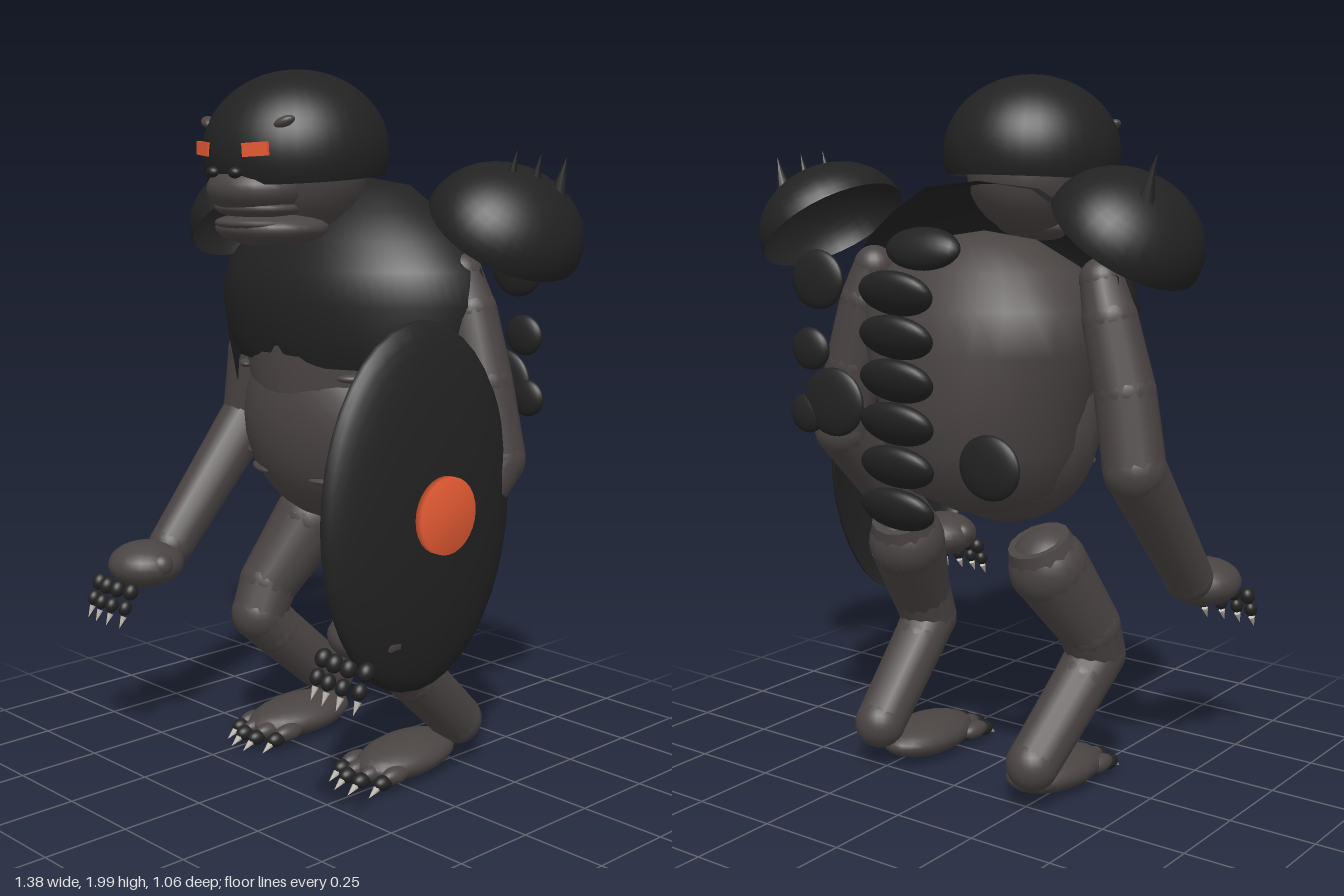
import * as THREE from 'three';
import { mergeVertices } from 'three/addons/utils/BufferGeometryUtils.js';

const mat = (name, color, side = THREE.FrontSide) => {
  const m = new THREE.MeshStandardMaterial({ color, side });
  m.name = name;
  return m;
};

export function createModel() {
  const root = new THREE.Group();
  root.name = 'armouredApe';
  const hide = mat('hide', 0x4a4443);
  const armour = mat('blackArmour', 0x222222, THREE.DoubleSide);
  const ember = mat('emberOrange', 0xe85c34);
  const claw = mat('clawBone', 0xc4beb4);
  const ball = new THREE.SphereGeometry(1, 24, 16);
  const up = new THREE.Vector3(0, 1, 0);

  const add = (name, geo, m, pos = [0, 0, 0], scale = [1, 1, 1], rot = [0, 0, 0]) => {
    const mesh = new THREE.Mesh(geo, m);
    mesh.name = name;
    mesh.position.set(...pos);
    mesh.scale.set(...scale);
    mesh.rotation.set(...rot);
    root.add(mesh);
  };
  const blob = (name, m, pos, scale, rot) => add(name, ball, m, pos, scale, rot);

  // Tapered segment from a to b; a zero end radius makes a spike
  const segment = (name, m, a, b, ra, rb, sides = 14) => {
    const A = new THREE.Vector3(...a), d = new THREE.Vector3(...b).sub(A);
    const geo = new THREE.CylinderGeometry(rb, ra, d.length(), sides);
    const mesh = new THREE.Mesh(geo, m);
    mesh.name = name;
    mesh.position.copy(A).addScaledVector(d, 0.5);
    mesh.quaternion.setFromUnitVectors(up, d.normalize());
    root.add(mesh);
  };
  const limb = (name, pts, radii) => {
    for (let i = 0; i + 1 < pts.length; i++) {
      segment(name, hide, pts[i], pts[i + 1], radii[i], radii[i + 1]);
      const r = radii[i + 1];
      blob(name + 'Joint', hide, pts[i + 1], [r, r, r]);
    }
  };
  const lathe = (pts, segs, start, length) =>
    new THREE.LatheGeometry(pts.map(([r, y]) => new THREE.Vector2(r, y)), segs, start, length);

  // Torso: egg that widens towards the shoulders
  const torso = lathe([[0, 0.79], [0.1, 0.8], [0.22, 0.86], [0.285, 0.99], [0.3, 1.12],
    [0.3, 1.26], [0.275, 1.38], [0.215, 1.48], [0.12, 1.55], [0, 1.575]], 28);
  const tp = torso.attributes.position;
  for (let i = 0; i < tp.count; i++) {
    const w = THREE.MathUtils.smoothstep(tp.getY(i), 1.1, 1.4);
    tp.setX(i, tp.getX(i) * (1 + 0.32 * w));
  }
  torso.computeVertexNormals();
  add('torso', torso, hide, [0, 0, -0.1]);
  blob('belly', hide, [0, 1.04, -0.01], [0.3, 0.3, 0.22]);

  // Open-backed chest shell with a notched lower edge
  const chest = lathe([[0.43, 1.2], [0.46, 1.27], [0.475, 1.38], [0.45, 1.47], [0.385, 1.55],
    [0.3, 1.62], [0.18, 1.69], [0.001, 1.71]], 40, -Math.PI / 2, Math.PI);
  const cp = chest.attributes.position;
  for (let i = 0; i < cp.count; i++) {
    if (cp.getY(i) > 1.21) continue;
    const x = Math.abs(cp.getX(i));
    cp.setY(i, x < 0.02 ? 1.24 : x < 0.27 ? 1.205 : 1.12 + Math.max(0, x - 0.3) * 0.65);
  }
  chest.computeVertexNormals();
  add('chestArmour', chest, armour, [0, 0, -0.13], [1, 1, 0.74]);

  // Head
  blob('skull', hide, [0, 1.73, 0.13], [0.18, 0.18, 0.2]);
  add('helmet', new THREE.SphereGeometry(1, 36, 20, 0, Math.PI * 2, 0, Math.PI * 0.6), armour,
    [0, 1.78, 0.13], [0.25, 0.22, 0.26], [0.06, 0, 0]);
  blob('muzzle', hide, [0, 1.685, 0.27], [0.14, 0.075, 0.135]);
  blob('upperLip', hide, [0, 1.635, 0.27], [0.13, 0.03, 0.105]);
  blob('jaw', hide, [0, 1.58, 0.22], [0.16, 0.05, 0.15]);
  blob('lowerLip', hide, [0, 1.595, 0.27], [0.125, 0.025, 0.11]);

  for (const s of [1, -1]) {
    // Face details
    add('eye', new THREE.BoxGeometry(0.078, 0.036, 0.0095), ember, [s * 0.106, 1.79, 0.367],
      [1, 1, 1], [0, s * 0.3, s * 0.06]);
    blob('browBump', hide, [s * 0.155, 1.86, 0.31], [0.03, 0.014, 0.02], [0, s * 0.5, s * 0.35]);
    blob('nostril', armour, [s * 0.045, 1.73, 0.385], [0.02, 0.015, 0.018]);

    // Belly folds
    blob('bellyFold', hide, [s * 0.22, 1.18, 0.13], [0.04, 0.012, 0.02], [0, s * 0.7, 0]);
    blob('bellyFold', hide, [s * 0.21, 0.925, 0.11], [0.04, 0.012, 0.02], [0, s * 0.7, 0]);
    blob('bellyFold', hide, [s * 0.15, 0.885, 0.13], [0.075, 0.012, 0.025], [0, s * 0.5, 0]);

    // Spiked shoulder plates
    add('shoulderPlate', new THREE.SphereGeometry(1, 32, 12, 0, Math.PI * 2, 0, Math.PI / 2), armour,
      [s * 0.495, 1.575, -0.165], [0.205, 0.17, 0.235], [0, 0, -s * 0.645]);
    [[0.6, 1.66, -0.25, 0.026], [0.565, 1.67, -0.19, 0.022], [0.535, 1.68, -0.13, 0.022]]
      .forEach(([x, y, z, r]) =>
        segment('shoulderSpike', armour, [s * x, y, z], [s * (x + 0.03), y + 0.11, z], r, 0, 8));

    // Arms, hands and fingers
    blob('shoulder', hide, [s * 0.39, 1.46, -0.11], [0.06, 0.06, 0.06]);
    limb('arm', [[s * 0.39, 1.46, -0.11], [s * 0.42, 1.36, -0.115], [s * 0.47, 1.17, -0.115],
      [s * 0.508, 0.97, -0.125], [s * 0.49, 0.6, 0.21]], [0.06, 0.075, 0.083, 0.085, 0.068]);
    blob('hand', hide, [s * 0.48, 0.565, 0.31], [0.11, 0.068, 0.115]);
    blob('thumb', hide, [s * 0.4, 0.575, 0.315], [0.036, 0.036, 0.036]);
    for (let i = 0; i < 4; i++) {
      const x = s * (0.415 + i * 0.052), z = 0.425 - (i === 0 || i === 3 ? 0.01 : 0);
      blob('knuckle', armour, [x, 0.51, z], [0.021, 0.026, 0.023], [-0.6, 0, 0]);
      blob('fingertip', armour, [x, 0.465, z + 0.022], [0.018, 0.023, 0.02], [-0.6, 0, 0]);
      segment('fingerClaw', claw, [x, 0.44, z + 0.028], [x, 0.407, z + 0.045], 0.01, 0, 6);
    }

    // Crouched legs with bevelled thigh tops
    limb('leg', [[s * 0.24, 0.75, -0.18], [s * 0.25, 0.67, -0.145], [s * 0.302, 0.48, -0.02],
      [s * 0.302, 0.39, 0.02], [s * 0.295, 0.33, -0.04], [s * 0.272, 0.14, -0.25]],
      [0.088, 0.111, 0.09, 0.084, 0.08, 0.074]);
    blob('foot', hide, [s * 0.23, 0.065, -0.08], [0.105, 0.055, 0.18], [0.04, s * 0.05, 0]);
    for (let i = 0; i < 4; i++) {
      const x = s * (0.145 + i * 0.054), z = i === 0 || i === 3 ? 0.07 : 0.1;
      blob('toe', hide, [x, 0.055, z - 0.03], [0.026, 0.025, 0.05]);
      blob('toeTip', armour, [x, 0.045, z + 0.02], [0.022, 0.022, 0.03]);
      segment('toeClaw', claw, [x, 0.035, z + 0.043], [x, 0.015, z + 0.075], 0.011, 0, 6);
    }
  }

  // Shield on the left arm: shallow dome and softly shaded round boss
  add('shield', new THREE.SphereGeometry(1, 40, 12, 0, Math.PI * 2, 0, Math.PI / 2), armour,
    [0.53, 0.885, 0.195], [0.485, 0.09, 0.338], [0, 0, -Math.PI / 2]);
  const disc = new THREE.CylinderGeometry(0.1, 0.1, 0.02, 28);
  disc.deleteAttribute('normal');
  disc.deleteAttribute('uv');
  const boss = mergeVertices(disc);
  boss.computeVertexNormals();
  add('shieldBoss', boss, ember, [0.631, 0.885, 0.195], [1, 1, 1], [0, 0, -Math.PI / 2]);

  // Back scales: a spine column and scattered discs
  blob('spineScale', armour, [0, 1.54, -0.37], [0.12, 0.06, 0.042], [0.5, 0, 0]);
  for (let i = 0; i < 6; i++)
    blob('spineScale', armour, [0, 1.432 - i * 0.114, -0.485], [0.118, 0.066, 0.038], [-0.5, 0, 0]);
  [[0.3, 1.45, 0.09], [0.33, 1.26, 0.065], [0.25, 1.12, 0.105], [0.345, 1.08, 0.06], [-0.275, 1.0, 0.095]]
    .forEach(([x, y, r]) => blob('backScale', armour, [x, y, -0.45], [r, r * 0.9, 0.024]));

  return root;
}
